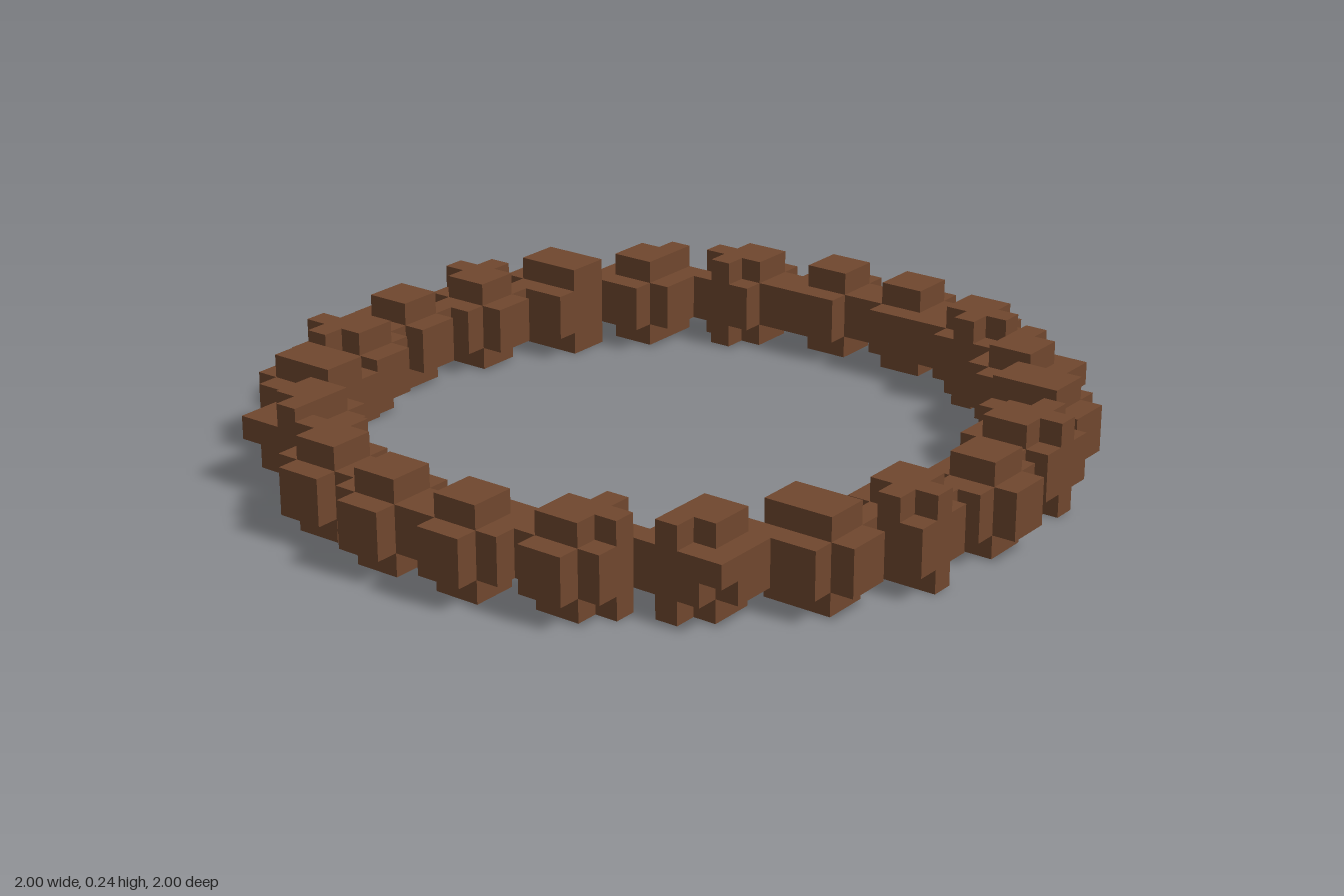
import * as THREE from 'three';
import { mergeGeometries } from 'three/addons/utils/BufferGeometryUtils.js';

const UNIT = 1 / 17; // edge of one block
const BEADS = 22;
const RING_RADIUS = 15; // in blocks
const LAYERS = [1.633, 4.14, 4.18, 1.7]; // squared bead radius in each layer, bottom to top

// A round bead built of blocks on the common grid: in each layer, one bar per grid column
function beadGeometry(cx, cz) {
  const bars = [];
  LAYERS.forEach((radiusSq, y) => {
    for (let x = Math.floor(cx) - 3; x <= cx + 3; x++) {
      const halfSq = radiusSq - (x + 0.5 - cx) ** 2;
      if (halfSq <= 0) continue;
      const half = Math.sqrt(halfSq);
      const z0 = Math.ceil(cz - half - 0.5);
      const z1 = Math.floor(cz + half - 0.5) + 1;
      if (z1 <= z0) continue;
      bars.push(new THREE.BoxGeometry(1, 1, z1 - z0).translate(x + 0.5, y + 0.5, (z0 + z1) / 2));
    }
  });
  return mergeGeometries(bars).scale(UNIT, UNIT, UNIT);
}

export function createModel() {
  const model = new THREE.Group();
  model.name = 'beadRing';
  const brown = new THREE.MeshStandardMaterial({ color: 0x70472e });
  brown.name = 'brown';

  // Ring of touching beads, starting at the front
  for (let i = 0; i < BEADS; i++) {
    const angle = (i / BEADS) * Math.PI * 2;
    const geometry = beadGeometry(RING_RADIUS * Math.sin(angle), RING_RADIUS * Math.cos(angle));
    const bead = new THREE.Mesh(geometry, brown);
    bead.name = `bead${i + 1}`;
    model.add(bead);
  }
  return model;
}
